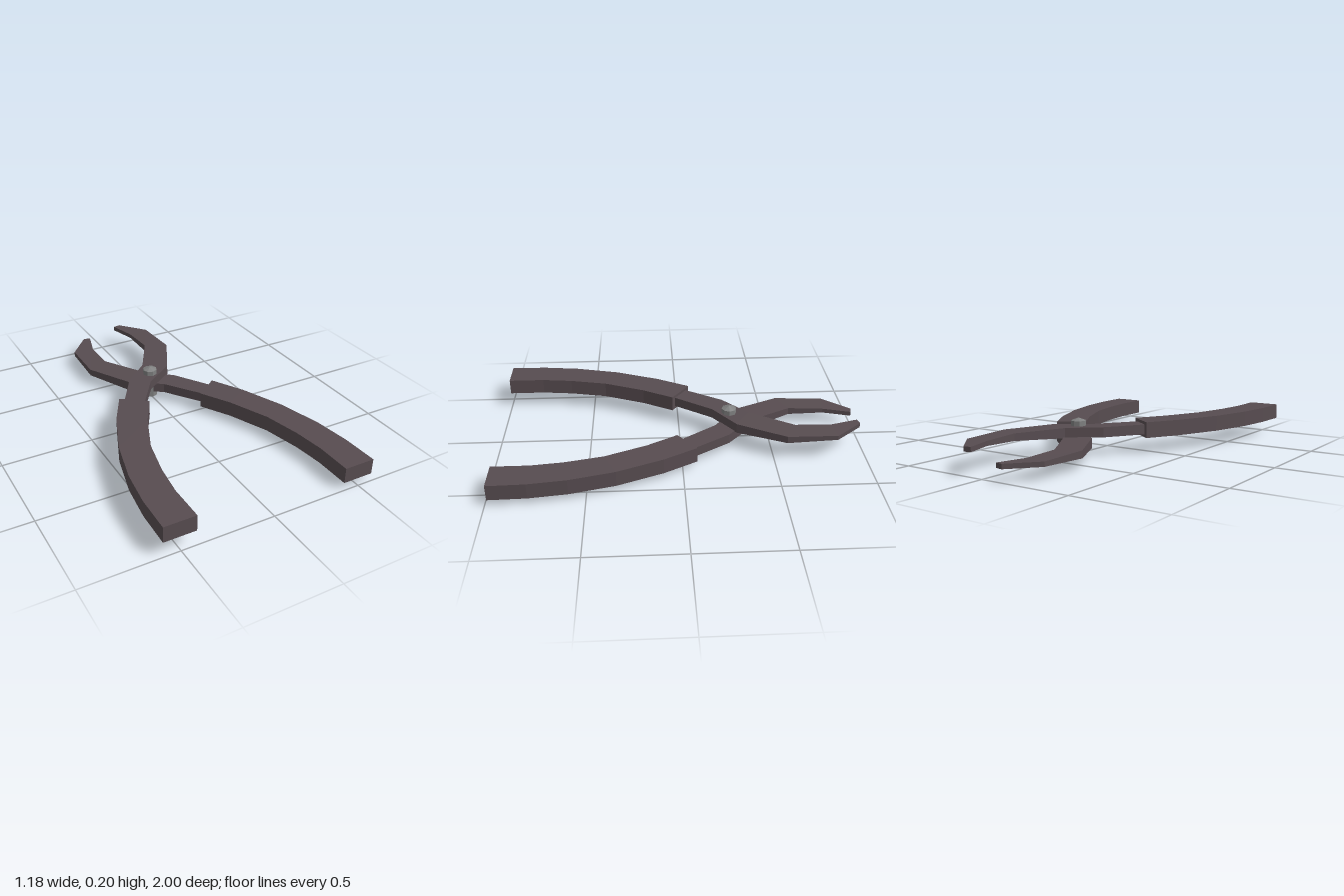
import * as THREE from 'three';

const gripMaterial = new THREE.MeshStandardMaterial({ color: 0x574c50, flatShading: true });
gripMaterial.name = 'dark warm grey';
const pivotMaterial = new THREE.MeshStandardMaterial({ color: 0x7f8080, flatShading: true });
pivotMaterial.name = 'steel grey';

// Sections run from the handle end to the jaw tip:
// [left x, left z, right x, right z, half thickness]
const HANDLE = [
  [-0.59, 1.0, -0.42, 1.0, 0.0425],
  [-0.585, 0.8, -0.42, 0.8, 0.0425],
  [-0.56, 0.6, -0.4, 0.63, 0.0425],
  [-0.5, 0.36, -0.355, 0.425, 0.0425],
  [-0.4, 0.115, -0.26, 0.2, 0.0425],
  [-0.3, -0.065, -0.165, 0.035, 0.0425],
];
const JAW = [
  [-0.29, -0.03, -0.2, 0.035, 0.027],
  [-0.15, -0.25, -0.045, -0.185, 0.027],
  [0, -0.385, 0.125, -0.305, 0.027],
  [0.135, -0.625, 0.258, -0.565, 0.0195],
  [0.13, -0.825, 0.25, -0.84, 0.0125],
  [0.085, -0.98, 0.125, -0.988, 0.0125],
];

// Rectangular loft through the sections, closed at both ends
function loft(sections, y, mirror, dz) {
  const rings = sections.map(([lx, lz, rx, rz, h]) => {
    const l = mirror ? [-rx, rz + dz] : [lx, lz + dz];
    const r = mirror ? [-lx, lz + dz] : [rx, rz + dz];
    return [[l[0], y + h, l[1]], [r[0], y + h, r[1]], [r[0], y - h, r[1]], [l[0], y - h, l[1]]];
  });
  const positions = [];
  const quad = (a, b, c, d) => positions.push(...a, ...b, ...c, ...a, ...c, ...d);
  for (let i = 0; i < rings.length - 1; i++) {
    const a = rings[i], b = rings[i + 1];
    for (let k = 0; k < 4; k++) {
      const n = (k + 1) % 4;
      quad(a[k], a[n], b[n], b[k]);
    }
  }
  const s = rings[0], e = rings[rings.length - 1];
  quad(s[0], s[3], s[2], s[1]);
  quad(e[0], e[1], e[2], e[3]);
  const geometry = new THREE.BufferGeometry();
  geometry.setAttribute('position', new THREE.Float32BufferAttribute(positions, 3));
  geometry.computeVertexNormals();
  return geometry;
}

function createArm(name, y, mirror, dz) {
  const arm = new THREE.Group();
  arm.name = name;
  for (const [part, sections] of [['handle', HANDLE], ['jaw', JAW]]) {
    const mesh = new THREE.Mesh(loft(sections, y, mirror, dz), gripMaterial);
    mesh.name = part;
    arm.add(mesh);
  }
  return arm;
}

export function createModel() {
  const group = new THREE.Group();
  group.name = 'pliers';

  // Two crossing arms, one above the other
  group.add(createArm('upperArm', 0.1265, false, 0));
  group.add(createArm('lowerArm', 0.0765, true, -0.013));

  // Rivet with shallow pointed caps
  const profile = [[0, 0], [0.041, 0.015], [0.041, 0.181], [0, 0.196]];
  const pivot = new THREE.Mesh(
    new THREE.LatheGeometry(profile.map(([r, y]) => new THREE.Vector2(r, y)), 8),
    pivotMaterial
  );
  pivot.name = 'pivot';
  pivot.position.set(-0.006, 0, -0.275);
  group.add(pivot);

  return group;
}
